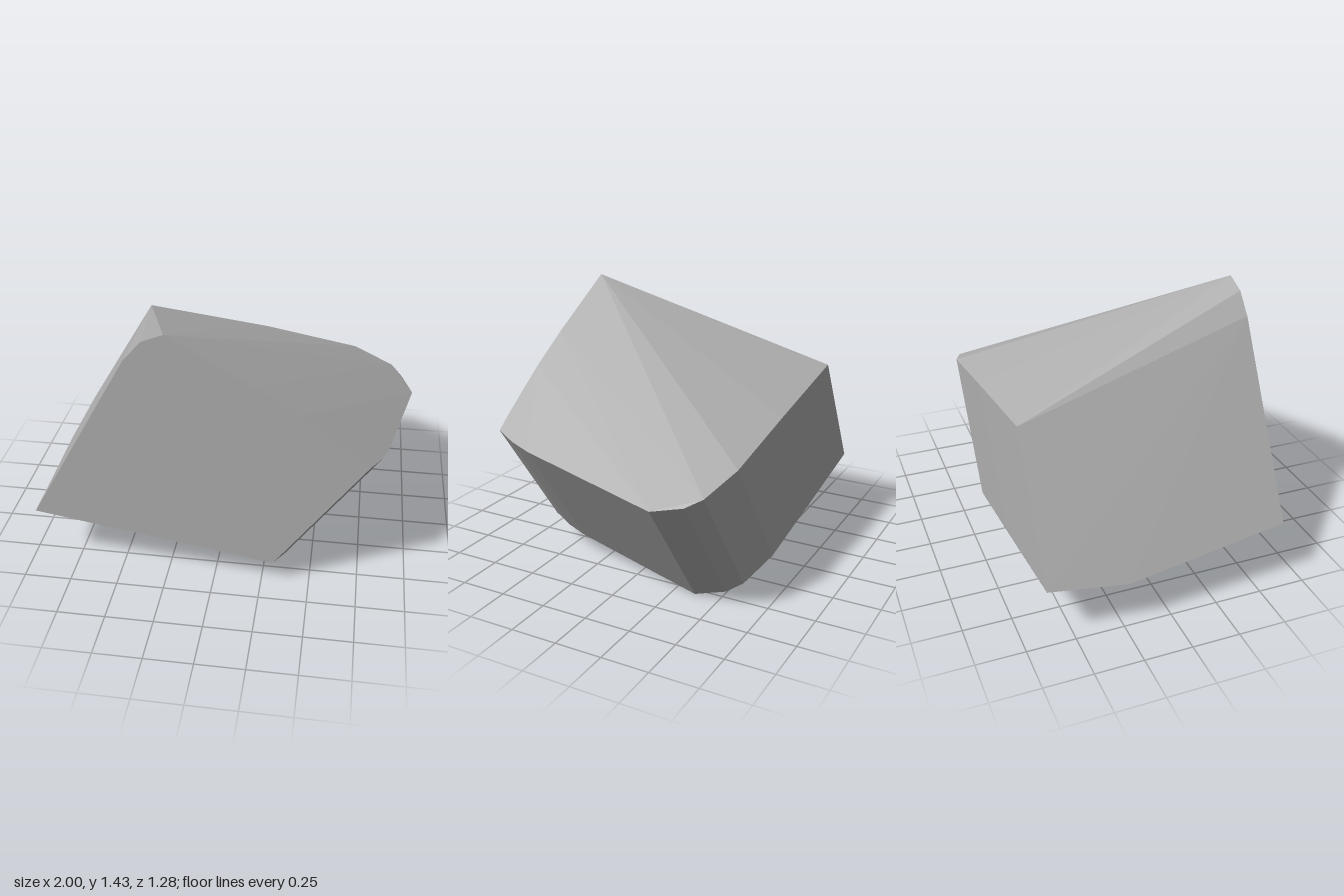
import * as THREE from 'three';
import { ConvexGeometry } from 'three/addons/geometries/ConvexGeometry.js';

export function createModel() {
  const group = new THREE.Group();
  group.name = 'stoneChunk';
  const stone = new THREE.MeshStandardMaterial({ color: 0xb0b0b0 });
  stone.name = 'stone grey';

  // Rounded outline of the right and back wall, at its upper rim
  const rim = [
    [0.77, 0.79, 0.64], [0.825, 0.765, 0.52], [0.86, 0.745, 0.4],
    [1.0, 0.645, -0.365], [0.94, 0.667, -0.51], [0.88, 0.702, -0.58],
    [0.66, 0.775, -0.645], [0.13, 0.872, -0.645],
  ];
  // The wall leans: its lower rim is the upper one shifted down and left
  const foot = rim.map(([x, y, z]) => [x - 0.458, y - 0.645, z]);

  // Back left corner and left side
  const left = [
    [-0.57, 0.97, -0.63], [-0.97, 0.295, -0.63],
    [-0.6, 0.92, -0.22], [-1.0, 0.253, -0.22], [-0.94, 0.35, 0.64],
  ];

  // Raised ridge along the top of the flat front face
  const ridge = [
    [-0.42, 1.28], [-0.33, 1.385], [-0.22, 1.43],
    [0.2, 1.188], [0.42, 1.05], [0.68, 0.862],
  ].map(([x, y]) => [x, y, 0.64]);

  const points = [...rim, ...foot, ...left, ...ridge].map((p) => new THREE.Vector3(...p));
  const chunk = new THREE.Mesh(new ConvexGeometry(points), stone);
  chunk.name = 'chunk';
  group.add(chunk);
  return group;
}
